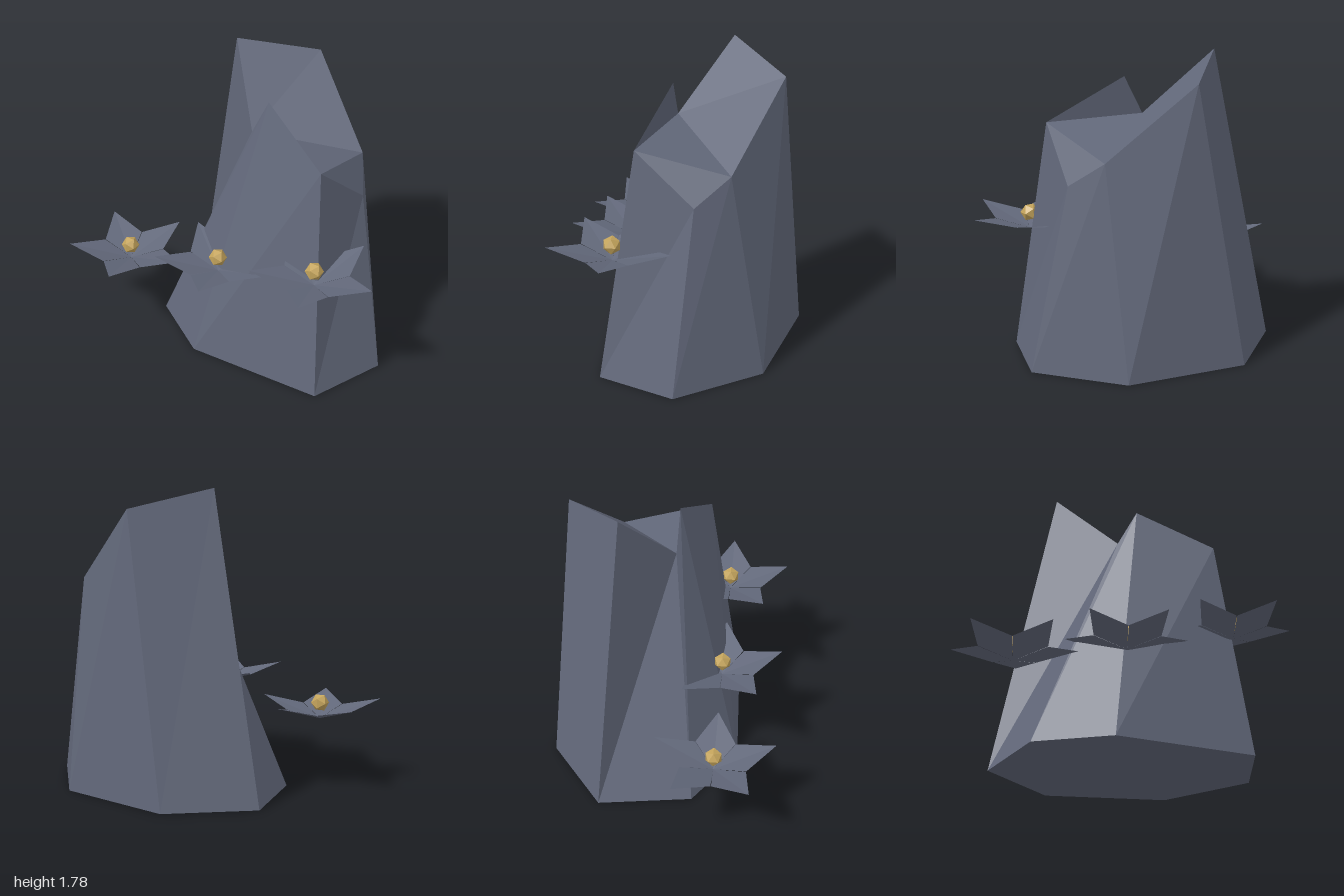
import * as THREE from 'three';

const stone = new THREE.MeshStandardMaterial({ color: 0x62687a, flatShading: true, side: THREE.DoubleSide });
stone.name = 'slateBlue';
const gold = new THREE.MeshStandardMaterial({ color: 0xc4a45c, flatShading: true });
gold.name = 'gold';

// Faceted geometry from a list of triangles of Vector3
function facets(tris) {
  const g = new THREE.BufferGeometry().setFromPoints(tris.flat());
  g.computeVertexNormals();
  return g;
}

// Seven-sided boulder: foot ring and jagged crown ring, counterclockwise from above
function makeRock() {
  const foot = [[-0.64, -0.36], [-0.55, 0.19], [-0.15, 0.44], [0.69, 0.40],
    [0.86, -0.05], [0.52, -0.53], [-0.19, -0.69]].map(([x, z]) => new THREE.Vector3(x, 0, z));
  const crown = [[-0.29, 1.78, -0.25], [0.01, 1.39, 0.04], [0.13, 1.62, 0.05], [0.57, 1.38, 0.20],
    [0.65, 1.09, -0.14], [0.53, 1.24, -0.33], [0.08, 1.67, -0.58]].map((p) => new THREE.Vector3(...p));
  const tris = [];
  for (let i = 0; i < 7; i++) {
    const j = (i + 1) % 7;
    tris.push([foot[i], foot[j], crown[j]], [foot[i], crown[j], crown[i]]);
    if (i > 0 && i < 6) tris.push([foot[0], foot[i + 1], foot[i]]);
  }
  // Crown cap, dipping at the notch
  for (const t of [[0, 1, 6], [1, 5, 6], [1, 3, 5], [3, 4, 5], [1, 2, 3]]) tris.push(t.map((k) => crown[k]));
  const rock = new THREE.Mesh(facets(tris), stone);
  rock.name = 'rock';
  return rock;
}

// Folded diamond petal pointing along +x
function petalGeometry() {
  const a = THREE.MathUtils.degToRad(35.5);
  const base = new THREE.Vector3(0, 0, 0);
  const tip = new THREE.Vector3(0.37, 0.11, 0);
  const side = (s) => new THREE.Vector3(0.2 * Math.cos(a), 0.057, s * 0.2 * Math.sin(a));
  return facets([[base, side(1), tip], [base, tip, side(-1)]]);
}

function makeFlower(x, y, z) {
  const flower = new THREE.Group();
  flower.name = 'flower';
  const geo = petalGeometry();
  for (let i = 0; i < 5; i++) {
    const petal = new THREE.Mesh(geo, stone);
    petal.name = 'petal';
    petal.rotation.y = (i * Math.PI * 2) / 5;
    flower.add(petal);
  }
  const heart = new THREE.Mesh(new THREE.IcosahedronGeometry(0.054, 0), gold);
  heart.name = 'flowerCentre';
  heart.position.y = 0.095;
  flower.add(heart);
  flower.position.set(x, y, z);
  return flower;
}

export function createModel() {
  const model = new THREE.Group();
  model.name = 'floweringRock';
  model.add(makeRock());
  // Three flowers rising in steps across the front
  for (let i = 0; i < 3; i++) model.add(makeFlower(-0.7 + 0.66 * i, 0.4 + 0.165 * i, 0.325));
  return model;
}
